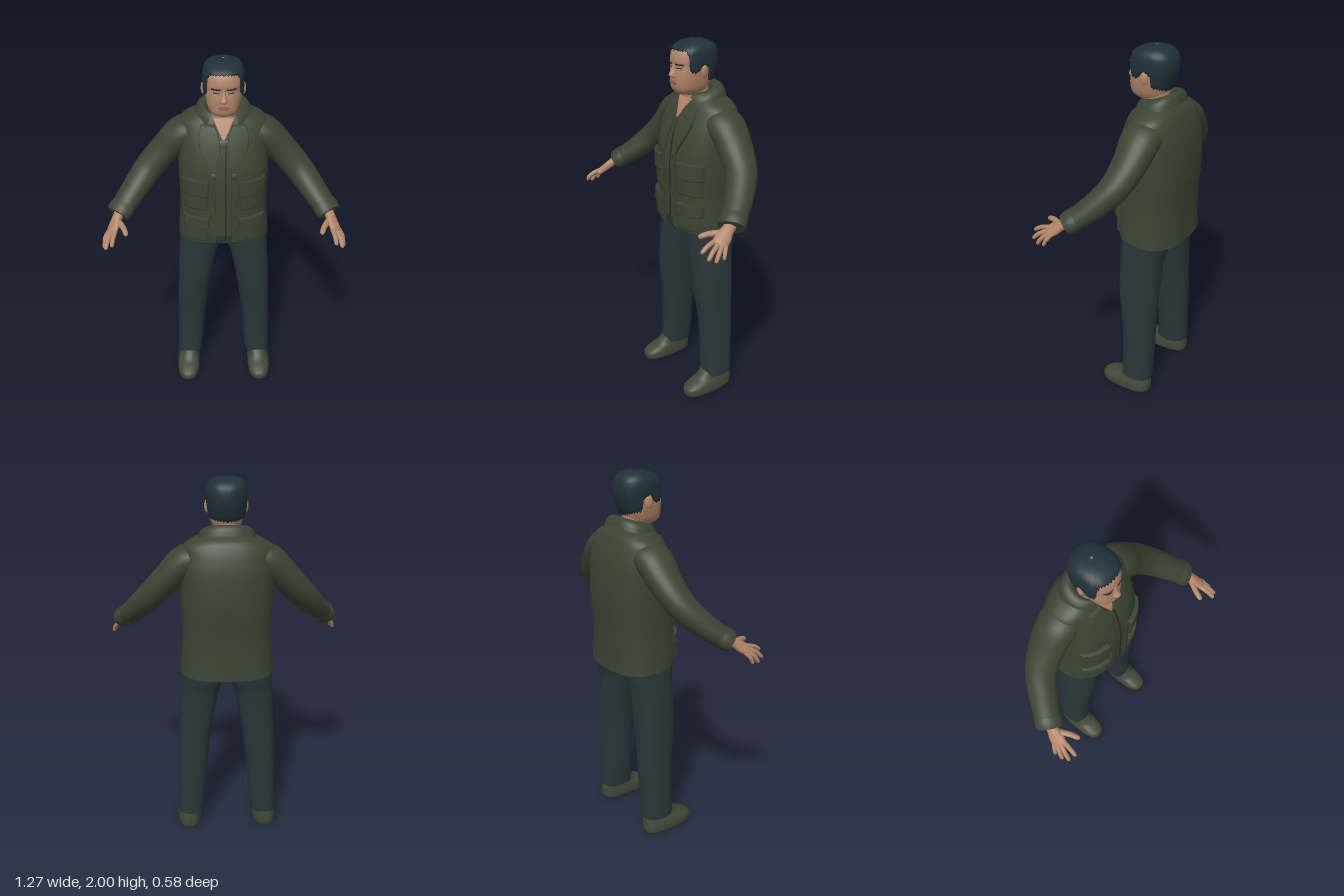
import * as THREE from 'three';

const V = (p) => new THREE.Vector3(...p);
const mat = (name, color, side = THREE.FrontSide) => Object.assign(new THREE.MeshStandardMaterial({ color, side }), { name });

// Smooth sampling of a table of rows at a fractional row number
function sample(rows, u) {
  const last = rows.length - 1, k = Math.min(Math.max(Math.floor(u), 0), last - 1), t = u - k;
  const row = (i) => rows[Math.min(Math.max(i, 0), last)];
  const [A, B, C, D] = [row(k - 1), row(k), row(k + 1), row(k + 2)];
  return B.map((b, i) => {
    const a = A[i], c = C[i], d = D[i];
    return b + 0.5 * t * (c - a + t * (2 * a - 5 * b + 4 * c - d + t * (3 * (b - c) + d - a)));
  });
}

// Body row: height, front z, back z, half width, centre x, squareness, tilt
const body = (rows) => rows.map(([y, f, b, w, cx = 0, n = 2.4, tilt = 0]) => [y, f, b, w, cx, n, tilt]);

// Point on a body row; angle 0 faces front and turns towards +x
function ringPoint([y, f, b, w, cx, n, tilt], a, off = 0) {
  const pow = (v) => Math.sign(v) * Math.abs(v) ** (2 / n);
  const dz = (Math.max((f - b) / 2, 0.001) + off) * pow(Math.cos(a));
  return V([cx + (Math.max(w, 0.001) + off) * pow(Math.sin(a)), y + tilt * dz, (f + b) / 2 + dz]);
}

// Surface through a grid of points
function skin(grid, closed = true) {
  const n = grid[0].length, pos = [], index = [];
  grid.forEach((r) => r.forEach((p) => pos.push(p.x, p.y, p.z)));
  for (let j = 0; j < grid.length - 1; j++) {
    for (let i = 0; i < (closed ? n : n - 1); i++) {
      const k = (i + 1) % n, a = j * n + i, b = j * n + k;
      index.push(a, b, b + n, a, b + n, a + n);
    }
  }
  const g = new THREE.BufferGeometry();
  g.setAttribute('position', new THREE.Float32BufferAttribute(pos, 3));
  g.setIndex(index);
  g.computeVertexNormals();
  return g;
}

// Close both ends with separate rings so the rims stay crisp
function capped(grid) {
  const end = (ring) => {
    const c = ring.reduce((s, p) => s.add(p), V([0, 0, 0])).divideScalar(ring.length);
    return ring.map(() => c);
  };
  const first = grid[0], last = grid[grid.length - 1];
  return skin([end(first), first, ...grid, last, end(last)]);
}

function stack(rows, seg = 44, sub = 5) {
  const grid = [], count = (rows.length - 1) * sub;
  for (let j = 0; j <= count; j++) {
    const r = sample(rows, j / sub);
    grid.push(Array.from({ length: seg }, (_, i) => ringPoint(r, (i / seg) * Math.PI * 2)));
  }
  return capped(grid);
}

// Tube with changing oval section: rows of x, y, z, radius sideways, radius across
function sweep(rows, seg = 20, sub = 5, side = null) {
  const grid = [], count = (rows.length - 1) * sub;
  const at = (j) => sample(rows, Math.min(Math.max(j, 0), count) / sub);
  for (let j = 0; j <= count; j++) {
    const r = at(j), c = V(r.slice(0, 3));
    const T = V(at(j + 1).slice(0, 3)).sub(V(at(j - 1).slice(0, 3))).normalize();
    const B = side ? side.clone().addScaledVector(T, -side.dot(T)) : T.clone().cross(V([0, 1, 0]));
    B.normalize();
    const N = T.clone().cross(B);
    grid.push(Array.from({ length: seg }, (_, i) => {
      const a = (i / seg) * Math.PI * 2;
      return c.clone().addScaledVector(B, r[3] * Math.cos(a)).addScaledVector(N, r[4] * Math.sin(a));
    }));
  }
  return capped(grid);
}

// Front surface depth of a body at x, y
function frontZ(rows, x, y) {
  let lo = 0, hi = rows.length - 1;
  for (let i = 0; i < 24; i++) {
    const m = (lo + hi) / 2;
    if (sample(rows, m)[0] < y) lo = m; else hi = m;
  }
  const [, f, b, w, , n] = sample(rows, lo);
  return (f + b) / 2 + ((f - b) / 2) * Math.max(0, 1 - Math.abs(x / w) ** n) ** (1 / n);
}

// Raised cloth panel lying on a body, between two edges listed from bottom to top
function panel(rows, left, right, thick) {
  const edge = [0, 0, 0.04, 0.2, 0.4, 0.6, 0.8, 0.96, 1, 1], n = edge.length - 1;
  const along = (pts, t) => {
    const u = t * (pts.length - 1), k = Math.min(Math.floor(u), pts.length - 2);
    return pts[k].map((v, i) => v + (pts[k + 1][i] - v) * (u - k));
  };
  return skin(edge.map((t, j) => edge.map((s, i) => {
    const l = along(left, t), r = along(right, t);
    const x = l[0] + (r[0] - l[0]) * s, y = l[1] + (r[1] - l[1]) * s;
    const rim = i === 0 || j === 0 || i === n || j === n;
    return V([x, y, frontZ(rows, x, y) + (rim ? -0.004 : thick)]);
  })), false);
}
const box = (rows, x0, x1, y0, y1, thick) => panel(rows, [[x0, y0], [x0, y1]], [[x1, y0], [x1, y1]], thick);

function mirrored(g) {
  const m = g.clone().scale(-1, 1, 1), ix = m.index.array;
  for (let i = 0; i < ix.length; i += 3) [ix[i], ix[i + 1]] = [ix[i + 1], ix[i]];
  return m;
}

const HEAD = body([[1.722, -0.02, -0.13, 0.05], [1.742, 0.036, -0.13, 0.062], [1.765, 0.054, -0.14, 0.076],
  [1.8, 0.057, -0.155, 0.086], [1.84, 0.056, -0.17, 0.092], [1.875, 0.051, -0.18, 0.094], [1.9, 0.055, -0.183, 0.095],
  [1.94, 0.046, -0.181, 0.094], [1.965, 0.026, -0.168, 0.085], [1.983, -0.008, -0.142, 0.065],
  [1.991, -0.04, -0.115, 0.036], [1.993, -0.074, -0.086, 0.005]]);
const TORSO = body([[0.995, 0.072, -0.282, 0.25, 0, 2.6, 0.08], [1.06, 0.08, -0.28, 0.245, 0, 2.6, 0.04],
  [1.2, 0.08, -0.28, 0.235, 0, 2.6], [1.35, 0.083, -0.293, 0.238, 0, 2.6], [1.45, 0.076, -0.292, 0.238, 0, 2.6],
  [1.55, 0.05, -0.283, 0.236, 0, 2.6], [1.62, 0.025, -0.267, 0.236], [1.67, 0.0, -0.248, 0.222],
  [1.7, -0.015, -0.23, 0.18], [1.722, -0.03, -0.2, 0.13], [1.74, -0.045, -0.175, 0.08]]);

// Hair shell from the hairline (head row by angle from the front) up to the crown
function hairShell() {
  const line = [[0, 7.6], [0.7, 7.5], [0.9, 6.6], [1.0, 4.4], [1.35, 4.2], [1.5, 5.2], [1.75, 5], [1.95, 3.2], [3.15, 2.7]];
  const seg = 120, steps = 16, grid = [];
  for (let j = -1; j <= steps; j++) {
    grid.push(Array.from({ length: seg }, (_, i) => {
      const turn = (i / seg) * Math.PI * 2, a = Math.min(turn, Math.PI * 2 - turn);
      const k = Math.max(1, line.findIndex((p) => p[0] >= a)), [p, q] = [line[k - 1], line[k]];
      const low = p[1] + ((q[1] - p[1]) * (a - p[0])) / (q[0] - p[0]) + 0.14 * ((i % 3) - 1);
      const t = Math.max(j, 0) / steps;
      const v = ringPoint(sample(HEAD, low + (11 - low) * t), turn, j < 0 ? -0.004 : 0.009 * (1 - t * t * t));
      v.y += 0.007 * t;
      return v;
    }));
  }
  return skin(grid);
}

export function createModel() {
  const model = new THREE.Group();
  const skinTone = mat('skin', 0xb08468), lip = mat('lips', 0x8f6350), hair = mat('hair', 0x203038);
  const jacket = mat('jacket cloth', 0x3c4333, THREE.DoubleSide), seam = mat('dark seam', 0x252b20);
  const trousers = mat('trouser cloth', 0x2a363a), leather = mat('shoe leather', 0x424737);
  const add = (name, g, m) => {
    const mesh = new THREE.Mesh(g, m);
    mesh.name = name;
    model.add(mesh);
  };
  const both = (name, g, m) => { add('left ' + name, g, m); add('right ' + name, mirrored(g), m); };

  // Head, neck and face
  add('head', stack(HEAD, 56, 4), skinTone);
  add('hair', hairShell(), hair);
  add('neck', stack(body([[1.62, -0.005, -0.16, 0.075], [1.7, -0.016, -0.148, 0.062], [1.78, -0.012, -0.145, 0.062]])), skinTone);
  add('nose', stack(body([[1.818, 0.056, 0.03, 0.012], [1.826, 0.076, 0.03, 0.02], [1.838, 0.08, 0.03, 0.017],
    [1.86, 0.066, 0.03, 0.011], [1.89, 0.056, 0.03, 0.008]]), 20, 4), skinTone);
  both('ear', new THREE.SphereGeometry(1, 16, 12).scale(0.011, 0.034, 0.021).rotateY(0.3).translate(0.1, 1.853, -0.066), skinTone);
  both('eyebrow', panel(HEAD, [[0.016, 1.884], [0.016, 1.891]], [[0.062, 1.884], [0.06, 1.892]], 0.003), hair);
  both('eye', panel(HEAD, [[0.02, 1.867], [0.02, 1.869]], [[0.052, 1.868], [0.05, 1.873]], 0.003), hair);
  add('upper lip', panel(HEAD, [[-0.028, 1.796], [-0.02, 1.803]], [[0.028, 1.796], [0.02, 1.803]], 0.008), lip);
  add('lower lip', panel(HEAD, [[-0.018, 1.785], [-0.026, 1.795]], [[0.018, 1.785], [0.026, 1.795]], 0.007), lip);

  // Jacket body and folded collar
  add('jacket body', stack(TORSO, 60, 5), jacket);
  const collar = body([[1.698, 0.012, -0.226, 0.15, 0, 2.3, -0.3], [1.735, 0.002, -0.212, 0.135, 0, 2.3, -0.3],
    [1.755, -0.012, -0.19, 0.105, 0, 2.3, -0.3], [1.745, -0.02, -0.165, 0.08, 0, 2.3, -0.3], [1.7, -0.03, -0.15, 0.07, 0, 2.3, -0.3]]);
  add('collar', skin(Array.from({ length: 17 }, (_, j) => Array.from({ length: 49 }, (_, i) =>
    ringPoint(sample(collar, j / 4), 0.5 + (i / 48) * (Math.PI * 2 - 1)))), false), jacket);

  // Open neck, lapels and front opening
  add('open neck', panel(TORSO, [[-0.004, 1.61], [-0.055, 1.71]], [[0.004, 1.61], [0.055, 1.71]], 0.006), skinTone);
  both('lapel', panel(TORSO, [[0.045, 1.42], [0.032, 1.5], [0.012, 1.6], [0.045, 1.68]],
    [[0.052, 1.42], [0.09, 1.5], [0.132, 1.6], [0.115, 1.68]], 0.016), jacket);
  both('front edge', panel(TORSO, [[0.045, 1.012], [0.04, 1.45]], [[0.072, 1.012], [0.06, 1.45]], 0.016), jacket);
  add('inner front', box(TORSO, -0.042, 0.042, 1.05, 1.61, 0.006), jacket);
  add('closure seam', box(TORSO, 0.006, 0.014, 1.05, 1.61, 0.009), seam);
  add('trouser front', box(TORSO, -0.042, 0.042, 1.01, 1.05, 0.004), trousers);

  // Two flapped pockets on each side
  for (const [name, top, bottom, flap] of [['upper', 1.4, 1.225, 0.085], ['lower', 1.175, 1.03, 0.06]]) {
    both(name + ' pocket', box(TORSO, 0.085, 0.208, bottom, top - 0.02, 0.012), jacket);
    both(name + ' pocket flap', panel(TORSO, [[0.08, top - flap], [0.08, top]], [[0.214, top - flap], [0.214, top]], 0.024), jacket);
    both(name + ' pocket shadow seam', box(TORSO, 0.083, 0.21, top - flap - 0.005, top - flap + 0.004, 0.014), seam);
  }

  // Sleeves and cuffs
  both('sleeve', sweep([[0.13, 1.615, -0.12, 0.1, 0.065], [0.215, 1.59, -0.12, 0.105, 0.08], [0.31, 1.492, -0.112, 0.092, 0.076],
    [0.4, 1.392, -0.08, 0.08, 0.072], [0.48, 1.3, 0.0, 0.072, 0.062], [0.55, 1.226, 0.088, 0.064, 0.05]], 32, 6), jacket);
  both('cuff', sweep([[0.525, 1.252, 0.057, 0.069, 0.056], [0.542, 1.235, 0.078, 0.072, 0.057], [0.557, 1.219, 0.097, 0.068, 0.052]], 32, 3), jacket);

  // Hands with spread fingers
  const across = V([0.69, -0.38, -0.61]);
  both('palm', sweep([[0.545, 1.232, 0.08, 0.03, 0.025], [0.558, 1.212, 0.12, 0.031, 0.023], [0.572, 1.186, 0.155, 0.039, 0.02],
    [0.583, 1.167, 0.185, 0.038, 0.017], [0.587, 1.16, 0.197, 0.028, 0.01]], 20, 4, across), skinTone);
  const fingers = {
    thumb: [[0.55, 1.2, 0.14], [0.518, 1.196, 0.2], [0.5, 1.185, 0.25], 0.015],
    'index finger': [[0.563, 1.178, 0.195], [0.57, 1.165, 0.245], [0.575, 1.14, 0.287], 0.012],
    'middle finger': [[0.581, 1.168, 0.19], [0.6, 1.145, 0.237], [0.611, 1.112, 0.272], 0.012],
    'ring finger': [[0.595, 1.16, 0.178], [0.615, 1.133, 0.212], [0.624, 1.096, 0.236], 0.0115],
    'little finger': [[0.602, 1.158, 0.162], [0.621, 1.132, 0.181], [0.629, 1.102, 0.193], 0.01],
  };
  for (const [name, [a, b, c, r]] of Object.entries(fingers)) {
    const near = c.map((v, i) => v + (b[i] - v) * 0.2);
    both(name, sweep([[...a, r * 1.1, r * 1.1], [...b, r, r], [...near, r * 0.85, r * 0.85], [...c, r * 0.3, r * 0.3]], 12, 3), skinTone);
  }

  // Trousers and shoes
  add('hips', stack(body([[0.935, -0.02, -0.16, 0.02], [0.97, 0.018, -0.205, 0.12], [1.02, 0.035, -0.23, 0.222], [1.1, 0.04, -0.235, 0.22]])), trousers);
  both('trouser leg', stack(body([[0.1, -0.002, -0.18, 0.07, 0.209], [0.115, 0.0, -0.183, 0.074, 0.209],
    [0.25, -0.003, -0.185, 0.078, 0.2], [0.45, 0.002, -0.188, 0.084, 0.19], [0.65, 0.028, -0.193, 0.092, 0.173],
    [0.85, 0.031, -0.202, 0.105, 0.148], [0.95, 0.032, -0.223, 0.116, 0.13], [1.06, 0.038, -0.235, 0.118, 0.122]])), trousers);
  both('shoe', stack(body([[0, 0.115, -0.165, 0.057, 0.22, 2.7], [0.012, 0.13, -0.178, 0.066, 0.22, 2.7],
    [0.045, 0.127, -0.18, 0.067, 0.219, 2.6], [0.068, 0.09, -0.178, 0.062, 0.217, 2.5],
    [0.09, 0.04, -0.174, 0.057, 0.214], [0.13, 0.0, -0.165, 0.054, 0.21]])), leather);
  return model;
}
